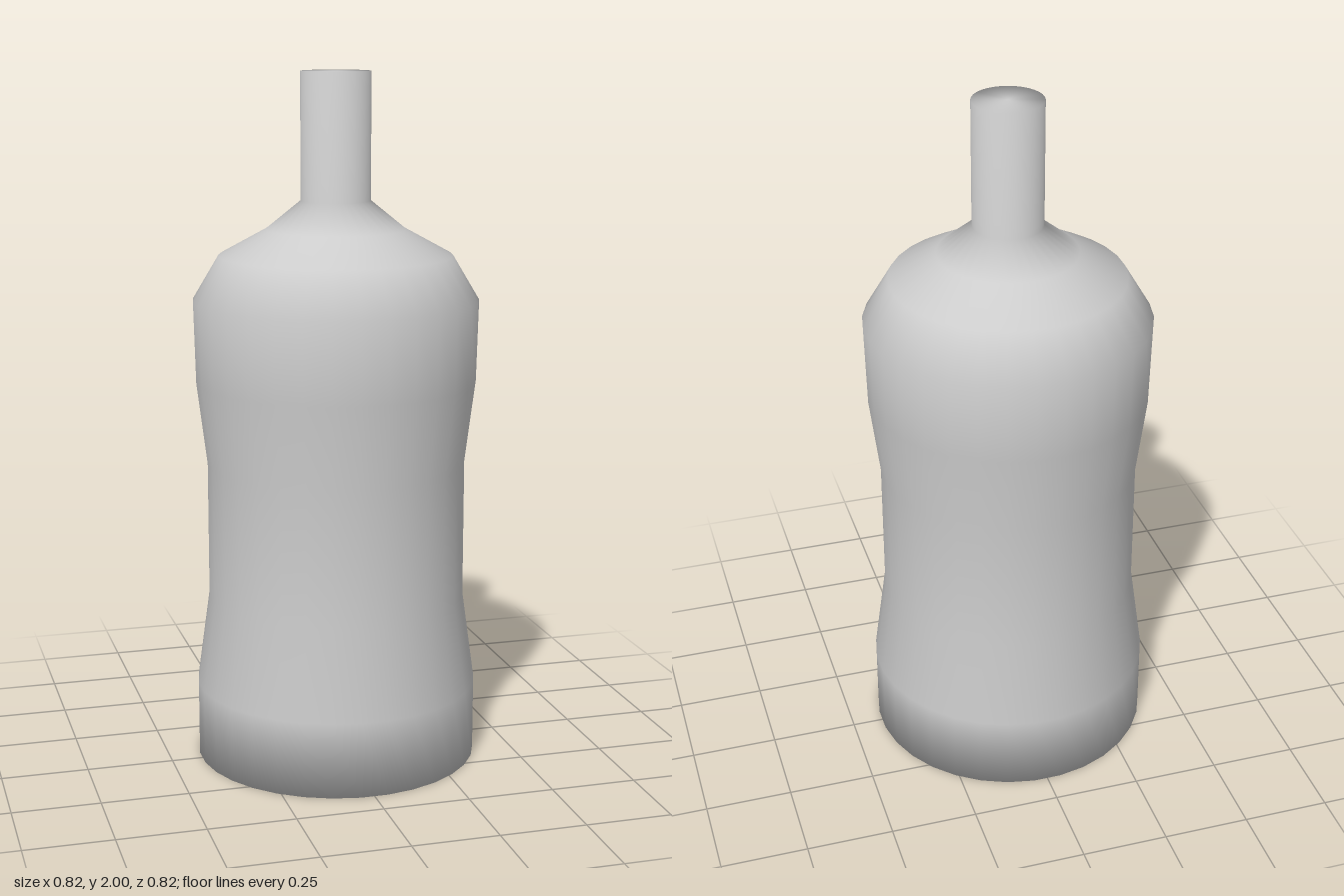
import * as THREE from 'three';

const SIDES = 32;

export function createModel() {
  const group = new THREE.Group();
  group.name = 'bottle';
  const material = new THREE.MeshStandardMaterial({ color: 0xcccccc });

  // Half profile from the base centre up to the closed mouth
  const profile = [
    [0, 0], [0.411, 0],            // base
    [0.411, 0.22], [0.375, 0.48],  // flare into the waist
    [0.375, 0.88], [0.405, 1.12],  // waist
    [0.411, 1.355], [0.335, 1.483], // upper bulge
    [0.2, 1.557], [0.1, 1.638],    // shoulder
    [0.1, 2], [0, 2],              // neck and top
  ].map(([r, y]) => new THREE.Vector2(r, y));

  // Turned by half a side so that flat sides face the axes
  const body = new THREE.Mesh(
    new THREE.LatheGeometry(profile, SIDES, Math.PI / SIDES),
    material
  );
  body.name = 'bodyAndNeck';
  group.add(body);
  return group;
}
